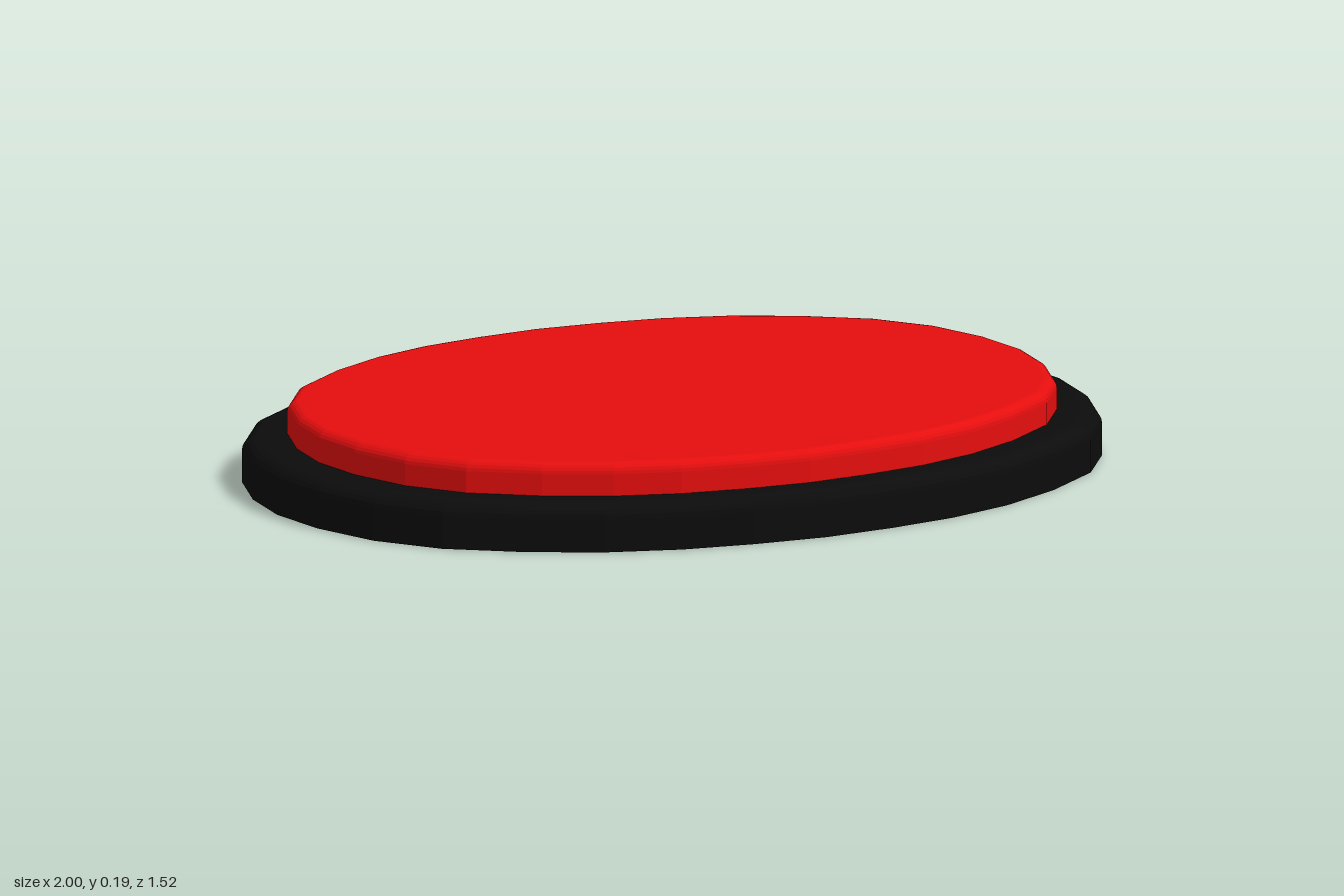
import * as THREE from 'three';

// One quadrant of the 32-sided oval outline, from the front (+z) round to the side (+x).
const QUADRANT = [
  [0, 0.76], [0.175, 0.747], [0.343, 0.72], [0.507, 0.667], [0.667, 0.583],
  [0.822, 0.466], [0.923, 0.325], [0.98, 0.16], [1, 0],
];

// Outline corner i of 32, mirrored from the quadrant.
function outlinePoint(i) {
  const k = i % 32;
  const fold = k % 16 <= 8 ? k % 16 : 16 - (k % 16);
  const [x, z] = QUADRANT[fold];
  return [k <= 16 ? x : -x, k <= 8 || k >= 24 ? z : -z];
}

// Closed oval disc with a rounded upper rim, scaled from the outline.
function ovalDisc(name, color, scale, bottom, top, inset, drop) {
  const profile = [new THREE.Vector2(0, bottom), new THREE.Vector2(scale, bottom)];
  const steps = 5;
  for (let s = 0; s <= steps; s++) {
    const a = (s / steps) * Math.PI / 2;
    profile.push(new THREE.Vector2(
      scale - inset * (1 - Math.cos(a)), top - drop * (1 - Math.sin(a))));
  }
  profile.push(new THREE.Vector2(0, top));

  const geometry = new THREE.LatheGeometry(profile, 32);
  const position = geometry.attributes.position;
  for (let i = 0; i <= 32; i++) {
    const [x, z] = outlinePoint(i);
    profile.forEach((p, j) => position.setXYZ(i * profile.length + j, x * p.x, p.y, z * p.x));
  }
  geometry.computeVertexNormals();

  const material = new THREE.MeshStandardMaterial({ color, flatShading: true });
  const mesh = new THREE.Mesh(geometry, material);
  mesh.name = name;
  return mesh;
}

export function createModel() {
  const model = new THREE.Group();
  model.name = 'ovalButton';
  model.add(
    // Black base plate
    ovalDisc('base', 0x0c0c0c, 1, 0, 0.11, 0.045, 0.035),
    // Raised red cap
    ovalDisc('cap', 0xe60e0e, 0.895, 0.1, 0.185, 0.028, 0.025),
  );
  return model;
}
